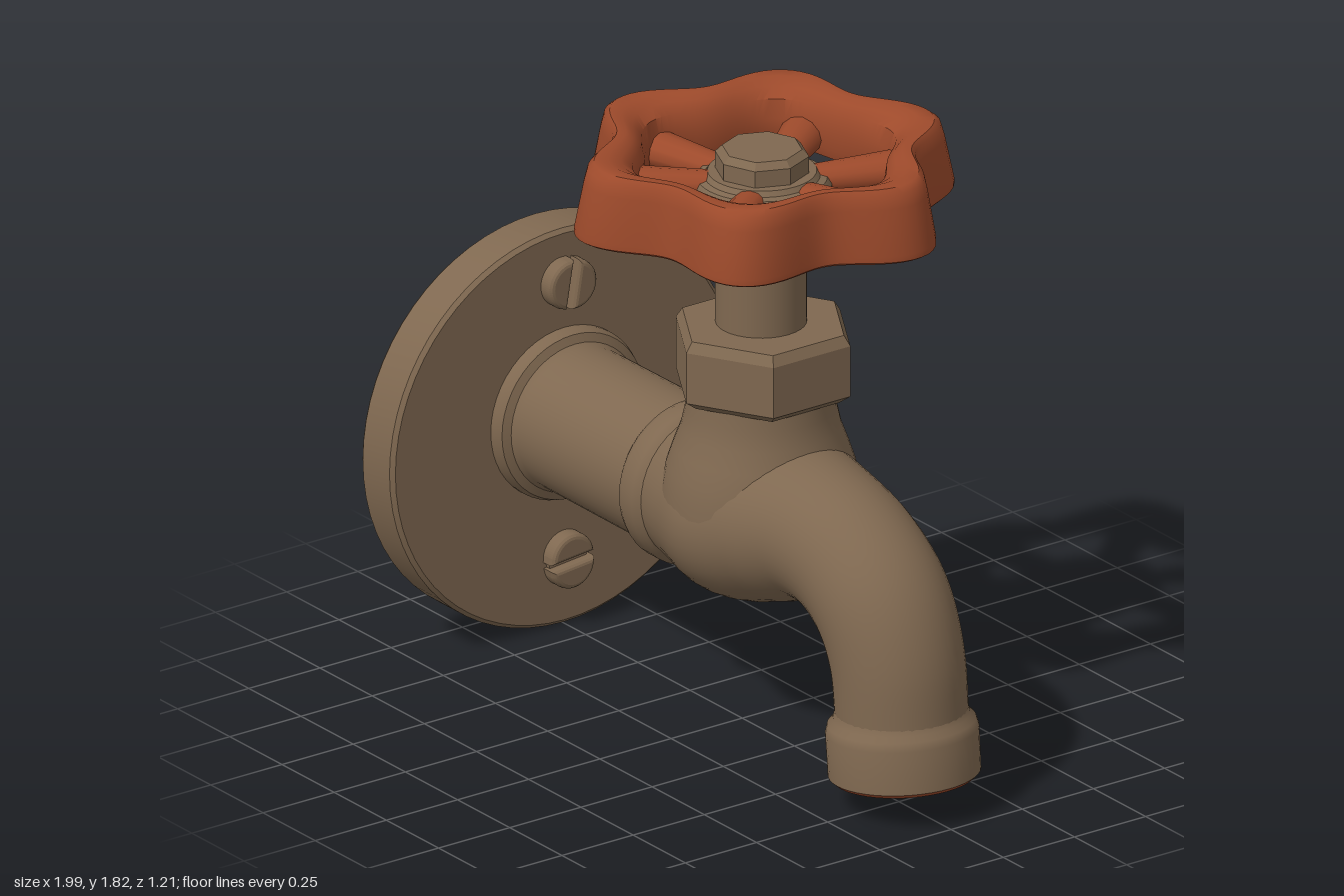
import * as THREE from 'three';
import { toCreasedNormals } from 'three/addons/utils/BufferGeometryUtils.js';

const brass = new THREE.MeshStandardMaterial({ color: 0x7f6850 });
brass.name = 'aged brass';
const paint = new THREE.MeshStandardMaterial({ color: 0x9d4a2b });
paint.name = 'rust red paint';

const CX = 0.09; // valve axis

// Revolve [radius, height] pairs round the y axis
function turned(points, segments = 48, crease = 0.6) {
  const g = new THREE.LatheGeometry(points.map(([r, y]) => new THREE.Vector2(r, y)), segments);
  return toCreasedNormals(g, crease);
}

// Skin a row of closed cross-sections
function loft(rings, crease = 0.7) {
  const n = rings[0].length, index = [];
  for (let i = 0; i < rings.length - 1; i++) {
    for (let j = 0; j < n; j++) {
      const a = i * n + j, b = i * n + (j + 1) % n;
      index.push(a, b, a + n, b, b + n, a + n);
    }
  }
  const g = new THREE.BufferGeometry().setFromPoints(rings.flat());
  g.setIndex(index);
  return toCreasedNormals(g, crease);
}

export function createModel() {
  const model = new THREE.Group();
  model.name = 'gardenTap';
  const add = (name, geometry, material, x = 0, y = 0, z = 0, parent = model) => {
    const mesh = new THREE.Mesh(geometry, material);
    mesh.name = name;
    mesh.position.set(x, y, z);
    parent.add(mesh);
    return mesh;
  };

  // Wall flange, hollow at the back
  add('wallFlange', turned([
    [0.21, -0.88], [0.582, -0.88], [0.582, -1], [0.6, -1], [0.607, -0.99],
    [0.607, -0.862], [0.595, -0.85], [0.21, -0.85], [0.21, -0.88],
  ], 64).rotateZ(-Math.PI / 2), brass, 0, 0.607);

  // Inlet pipe with its root fillet and collar
  add('inletPipe', turned([
    [0, -0.5], [0.19, -0.5], [0.19, -0.875], [0.26, -0.875], [0.26, -0.835], [0.25, -0.81],
    [0.225, -0.8], [0.216, -0.78], [0.218, -0.29], [0.235, -0.27], [0.243, -0.25],
    [0.243, -0.2], [0.235, -0.18], [0.222, -0.165], [0.21, -0.1],
  ]).rotateZ(-Math.PI / 2), brass, 0, 0.652);

  // Slotted screws: two half heads each
  const half = new THREE.Shape();
  half.absarc(0, 0, 0.06, 0.22, Math.PI - 0.22, false);
  const halfHead = new THREE.ExtrudeGeometry(half, {
    depth: 0.03, bevelThickness: 0.018, bevelSize: 0.015, bevelOffset: 0, bevelSegments: 3, curveSegments: 16,
  });
  halfHead.translate(0, 0.009, 0).rotateY(Math.PI / 2);
  for (const [y, turn] of [[1.055, 1.4], [0.205, 0.1]]) {
    const screw = new THREE.Group();
    screw.name = 'screw';
    screw.position.set(-0.85, y, 0);
    screw.rotation.x = turn;
    add('screwHeadHalf', halfHead, brass, 0, 0, 0, screw);
    add('screwHeadHalf', halfHead, brass, 0, 0, 0, screw).rotation.x = Math.PI;
    const core = new THREE.CylinderGeometry(0.066, 0.066, 0.04, 24).rotateZ(Math.PI / 2);
    add('screwCore', core, brass, -0.005, 0, 0, screw);
    model.add(screw);
  }

  // Swollen body running into the bent spout: x, y, radius in the bend plane, radius across
  const stations = [
    [-0.2, 0.655, 0.222, 0.222], [-0.08, 0.66, 0.238, 0.255], [0.07, 0.667, 0.255, 0.292],
    [0.23, 0.695, 0.24, 0.262], [0.39, 0.71, 0.208, 0.215], [0.54, 0.677, 0.2, 0.2],
    [0.67, 0.585, 0.198, 0.198], [0.742, 0.44, 0.193, 0.193], [0.766, 0.25, 0.19, 0.19],
  ];
  const path = new THREE.CatmullRomCurve3(stations.map(s => new THREE.Vector3(s[0], s[1], 0)), false, 'catmullrom');
  const radii = new THREE.CatmullRomCurve3(stations.map(s => new THREE.Vector3(s[2], s[3], 0)), false, 'catmullrom');
  const bodyRings = [];
  for (let i = 0; i <= 56; i++) {
    const p = path.getPoint(i / 56), t = path.getTangent(i / 56), r = radii.getPoint(i / 56);
    bodyRings.push(Array.from({ length: 40 }, (_, j) => {
      const a = j / 40 * Math.PI * 2, c = Math.cos(a) * r.x;
      return new THREE.Vector3(p.x - t.y * c, p.y + t.x * c, Math.sin(a) * r.y);
    }));
  }
  add('bodyAndSpout', loft(bodyRings), brass);

  // Neck rising from the body
  add('neck', turned([
    [0.285, 0.68], [0.282, 0.75], [0.27, 0.82], [0.25, 0.88], [0.228, 0.94], [0.215, 1], [0.21, 1.07],
  ]), brass, CX);

  // Spout lip with open mouth and painted edge
  const lip = new THREE.Group();
  lip.name = 'spoutLip';
  lip.position.set(0.778, 0.092, 0);
  lip.rotation.z = 0.09;
  model.add(lip);
  add('mouth', turned([[0, 0.12], [0.135, 0.12], [0.135, 0.04], [0.165, 0.015], [0.175, 0], [0.205, 0]]), brass, 0, 0, 0, lip);
  add('lipEdge', turned([[0.205, 0], [0.218, 0.012]]), paint, 0, 0, 0, lip);
  add('lipBand', turned([[0.218, 0.012], [0.219, 0.14], [0.212, 0.165], [0.196, 0.18], [0.188, 0.21]]), brass, 0, 0, 0, lip);

  // Hexagonal bonnet nut and stem
  add('bonnetNut', turned([
    [0, 1.045], [0.235, 1.045], [0.27, 1.07], [0.27, 1.225], [0.25, 1.255], [0, 1.255],
  ], 6, 0.2), brass, 0.1);
  add('stem', new THREE.CylinderGeometry(0.13, 0.13, 0.3, 32), brass, CX, 1.37);

  // Handwheel
  const wheel = new THREE.Group();
  wheel.name = 'handwheel';
  wheel.position.x = CX + 0.015;
  model.add(wheel);
  add('hubEdge', turned([[0.12, 1.482], [0.18, 1.482], [0.198, 1.502]]), paint, -0.01, 0, 0, wheel);
  add('hub', turned([
    [0.198, 1.502], [0.2, 1.6], [0.198, 1.68], [0.185, 1.7], [0.165, 1.705], [0.155, 1.72], [0, 1.72],
  ]), brass, -0.01, 0, 0, wheel);
  add('topNut', turned([[0.135, 1.71], [0.135, 1.77], [0.115, 1.79], [0, 1.79]], 8, 0.2), brass, -0.01, 0, 0, wheel);

  // Six-lobed rim: section points are [fraction from inner to outer edge, height]
  const section = [
    [0, 1.72], [0.07, 1.775], [0.25, 1.8], [0.45, 1.815], [0.68, 1.815], [0.78, 1.8], [0.84, 1.76],
    [0.99, 1.625], [0.99, 1.607], [0.93, 1.6], [0.5, 1.615], [0.08, 1.63], [0, 1.66],
  ];
  const phase = 17 * Math.PI / 180;
  const rimRings = [];
  for (let i = 0; i <= 120; i++) {
    const a = i / 120 * Math.PI * 2, wave = Math.cos(6 * (a - phase));
    const inner = 0.362 + 0.018 * wave, outer = 0.517 + 0.06 * wave;
    rimRings.push(section.map(([s, y]) => {
      const r = inner + s * (outer - inner);
      return new THREE.Vector3(r * Math.cos(a), y, -r * Math.sin(a));
    }));
  }
  add('rim', loft(rimRings), paint, 0, 0, 0, wheel);

  // Spokes
  const spoke = new THREE.CylinderGeometry(0.07, 0.05, 0.26, 12).rotateZ(-Math.PI / 2);
  spoke.scale(1, 0.8, 1).translate(0.28, 0, 0);
  for (const deg of [17, 70, 127, 194, 234, 308]) {
    add('spoke', spoke, paint, 0, 1.68, 0, wheel).rotation.y = deg * Math.PI / 180;
  }
  return model;
}
